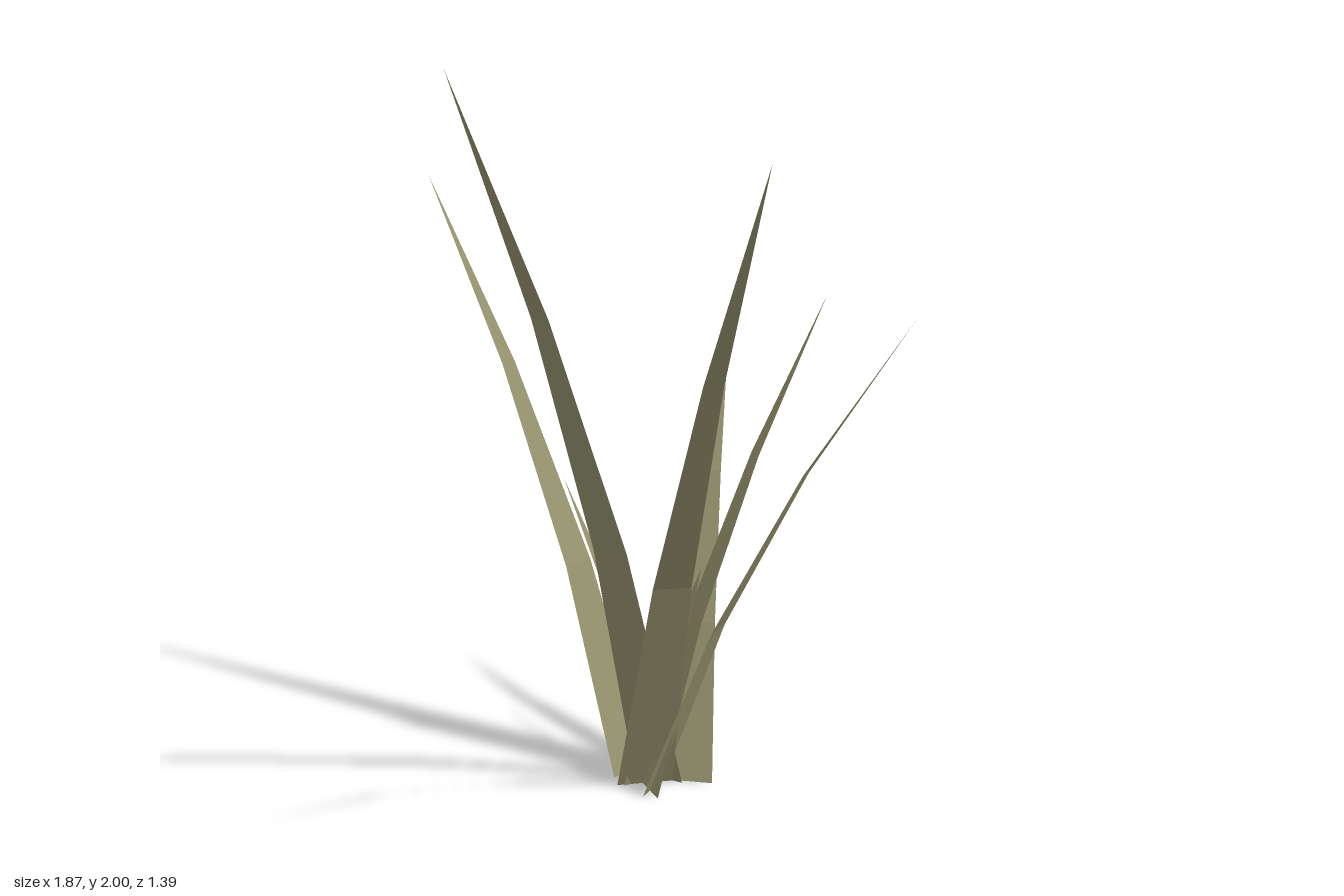
import * as THREE from 'three';

const leafGreen = new THREE.MeshStandardMaterial({ color: 0x95926d });
leafGreen.name = 'leafGreen';
leafGreen.side = THREE.DoubleSide;
leafGreen.flatShading = true;

const BASE_WIDTH = 0.155;
// Shared bend: [height fraction, outward fraction, width fraction]
const BEND = [[0, 0, 1], [0.352, 0.26, 0.667], [0.686, 0.6, 0.333], [1, 1, 0]];

// One flat blade: three tapering segments curving from its foot to a pointed tip
function bladeGeometry([footX, footZ], [tipX, tipY, tipZ]) {
  const dx = tipX - footX, dz = tipZ - footZ;
  const reach = Math.hypot(dx, dz);
  const sideX = dz / reach, sideZ = -dx / reach;
  const points = [];
  for (const [h, r, w] of BEND) {
    const half = w * BASE_WIDTH / 2;
    for (const s of w > 0 ? [-1, 1] : [0]) {
      points.push(footX + dx * r + sideX * half * s, tipY * h, footZ + dz * r + sideZ * half * s);
    }
  }
  const indexed = new THREE.BufferGeometry();
  indexed.setAttribute('position', new THREE.Float32BufferAttribute(points, 3));
  indexed.setIndex([0, 1, 3, 0, 3, 2, 2, 3, 5, 2, 5, 4, 4, 5, 6]);
  const geometry = indexed.toNonIndexed();
  geometry.computeVertexNormals();
  return geometry;
}

// Foot [x, z] and tip [x, y, z] of each blade
const BLADES = {
  leftBlade: [[-0.1, -0.14], [0.935, 1.825, 0.35]],
  frontBlade: [[-0.11, -0.195], [0.21, 2.0, 0.695]],
  rightBlade: [[-0.2, -0.175], [-0.935, 1.61, -0.02]],
  backRightBlade: [[-0.043, -0.235], [-0.405, 1.17, -0.695]],
  backBlade: [[-0.06, -0.12], [0.11, 1.34, -0.595]],
  backLeftBlade: [[-0.06, -0.14], [0.56, 1.345, -0.475]],
  shortRightBlade: [[-0.13, -0.213], [-0.37, 0.825, -0.07]],
  shortLeftBlade: [[-0.11, -0.16], [0.145, 0.67, -0.13]],
};

export function createModel() {
  const tuft = new THREE.Group();
  tuft.name = 'grassTuft';
  for (const [name, [foot, tip]] of Object.entries(BLADES)) {
    const blade = new THREE.Mesh(bladeGeometry(foot, tip), leafGreen);
    blade.name = name;
    tuft.add(blade);
  }
  return tuft;
}
